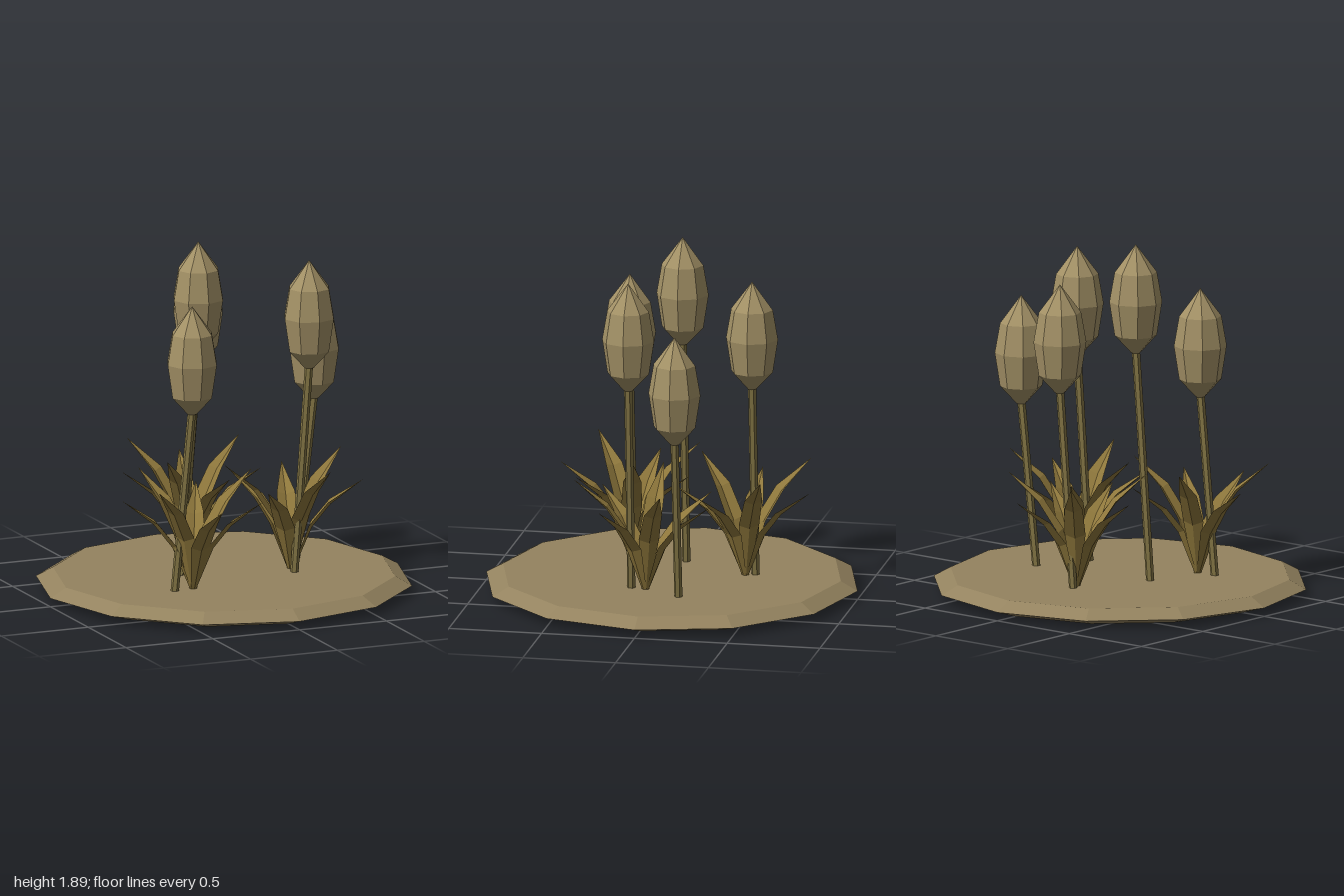
import * as THREE from 'three';

const mat = (color, side = THREE.FrontSide) => new THREE.MeshStandardMaterial({ color, side, flatShading: true });
const soilMat = mat(0x94835f);
const stemMat = mat(0x827444);
const budMat = mat(0xa39166);
const leafMat = mat(0x8f783c, THREE.DoubleSide);

function lathe(profile, sides, material, name) {
  const points = profile.map(([r, y]) => new THREE.Vector2(r, y));
  const mesh = new THREE.Mesh(new THREE.LatheGeometry(points, sides), material);
  mesh.name = name;
  return mesh;
}

// Folded blade growing outward along +z; each section is [reach, height, half width]
function leafGeometry(sections) {
  const pos = [], index = [];
  for (const [r, y, w] of sections) {
    const fold = w * 0.35;
    pos.push(-w, y, r, 0, y - fold, r + fold * 0.6, w, y, r);
  }
  for (let i = 0; i < sections.length - 1; i++) {
    for (let j = 0; j < 2; j++) {
      const a = i * 3 + j, b = a + 3;
      index.push(a, b, a + 1, a + 1, b, b + 1);
    }
  }
  const geo = new THREE.BufferGeometry();
  geo.setAttribute('position', new THREE.Float32BufferAttribute(pos, 3));
  geo.setIndex(index);
  geo.computeVertexNormals();
  return geo;
}

// Slanted stem with a closed bud on top
function flower(baseX, topX, z, tipY) {
  const group = new THREE.Group();
  group.name = 'flower';
  const from = new THREE.Vector3(baseX, 0.09, z);
  const to = new THREE.Vector3(topX, tipY - 0.56, z);
  const dir = to.clone().sub(from);
  const stem = new THREE.Mesh(new THREE.CylinderGeometry(0.022, 0.022, dir.length(), 6), stemMat);
  stem.name = 'stem';
  stem.position.copy(from).add(to).multiplyScalar(0.5);
  stem.quaternion.setFromUnitVectors(new THREE.Vector3(0, 1, 0), dir.normalize());
  const bud = lathe([[0, -0.59], [0.025, -0.585], [0.112, -0.49], [0.14, -0.31], [0.112, -0.15], [0, 0]], 8, budMat, 'bud');
  bud.position.set(topX, tipY, z);
  group.add(stem, bud);
  return group;
}

export function createModel() {
  const model = new THREE.Group();
  model.name = 'flowerPatch';

  // Bevelled twelve-sided ground disc
  model.add(lathe([[0, 0], [0.85, 0], [1, 0.045], [0.91, 0.095], [0, 0.095]], 12, soilMat, 'ground'));

  // Flowers: stem base x, bud x, z, tip height
  for (const f of [
    [-0.41, -0.31, 0.29, 1.63],
    [-0.235, -0.135, -0.03, 1.895],
    [-0.05, 0.042, -0.44, 1.72],
    [0.34, 0.425, 0.15, 1.78],
    [0.47, 0.575, -0.13, 1.54],
  ]) model.add(flower(...f));

  // Leaf rosettes: seven blades, alternately low and high
  const low = leafGeometry([[0.01, 0.09, 0.015], [0.1, 0.34, 0.055], [0.2, 0.465, 0.048], [0.38, 0.585, 0.001]]);
  const high = leafGeometry([[0.01, 0.09, 0.015], [0.09, 0.39, 0.055], [0.2, 0.55, 0.048], [0.38, 0.69, 0.001]]);
  const step = Math.PI * 2 / 7;
  for (const [x, z, turn, first] of [[-0.3, 0.28, 0, 0], [-0.03, -0.39, 0.18, 0], [0.355, 0.07, 0.17, 3]]) {
    const rosette = new THREE.Group();
    rosette.name = 'leafRosette';
    rosette.position.set(x, 0, z);
    for (let i = 0; i < 7; i++) {
      const leaf = new THREE.Mesh(i % 2 ? high : low, leafMat);
      leaf.name = 'leaf';
      leaf.rotation.y = turn + (first - i) * step;
      rosette.add(leaf);
    }
    model.add(rosette);
  }
  return model;
}
